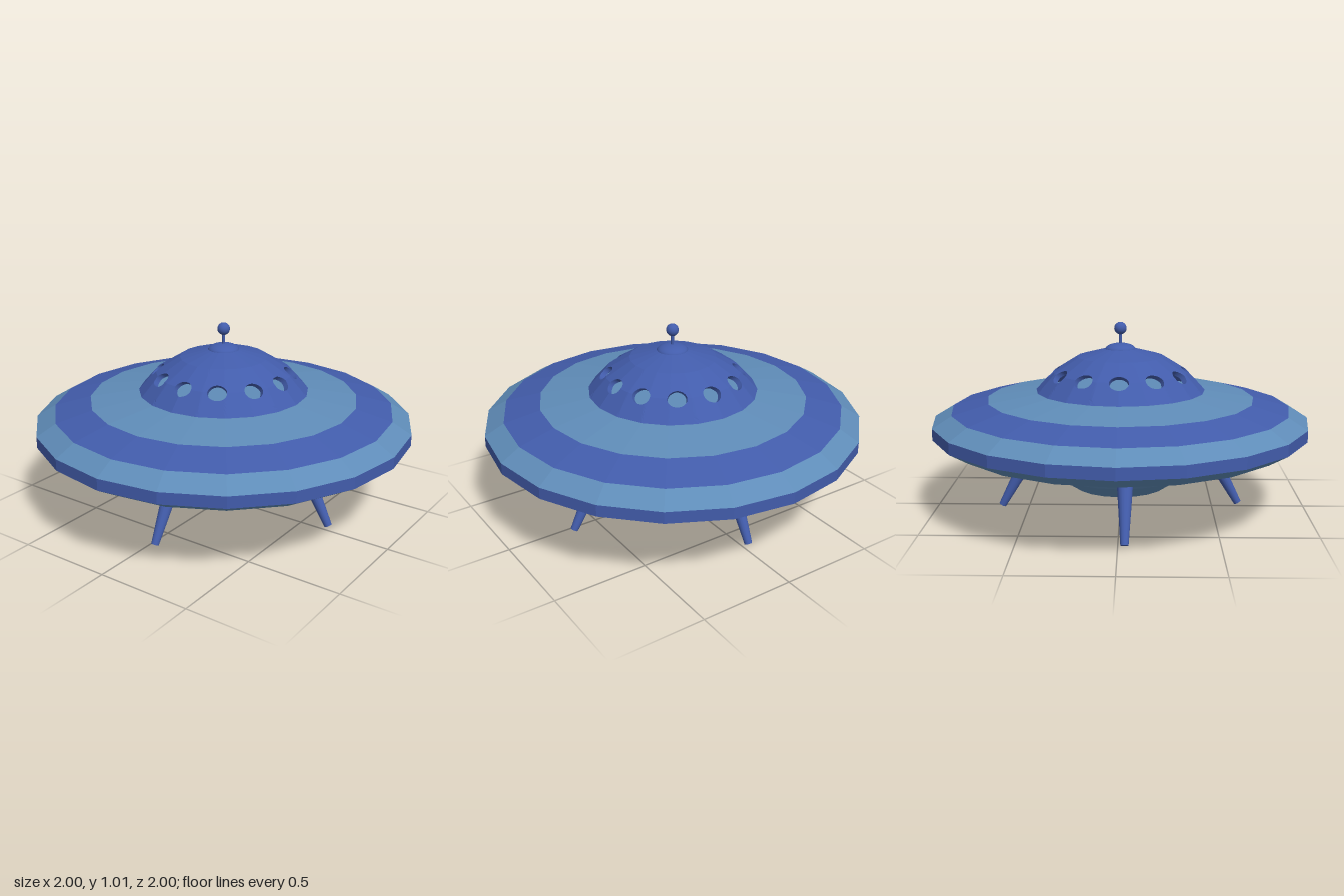
import * as THREE from 'three';

const SIDES = 20;
const paint = (color, flat = true) =>
  new THREE.MeshStandardMaterial({ color, flatShading: flat, side: THREE.DoubleSide });
const pale = paint(0x5f8cb8), blue = paint(0x425cab), blueSmooth = paint(0x425cab, false);

export function createModel() {
  const model = new THREE.Group();

  const add = (name, geometry, material, parent = model) => {
    const mesh = new THREE.Mesh(geometry, material);
    mesh.name = name;
    parent.add(mesh);
    return mesh;
  };
  const flat = (geometry) => {
    const g = geometry.index ? geometry.toNonIndexed() : geometry;
    g.computeVertexNormals();
    return g;
  };
  // Faceted ring turned from a profile listed bottom to top on the outside
  const turned = (name, profile, material) =>
    add(name, flat(new THREE.LatheGeometry(profile.map(p => new THREE.Vector2(...p)), SIDES)), material);

  // Saucer hull, in coloured bands
  turned('underside', [[0.45, 0.29], [0.71, 0.33], [0.9, 0.38], [1, 0.44]], pale);
  turned('rim', [[1, 0.44], [1, 0.5]], blue);
  turned('outerBand', [[1, 0.5], [0.9, 0.56]], pale);
  turned('middleBand', [[0.9, 0.56], [0.71, 0.61]], blue);
  turned('innerBand', [[0.71, 0.61], [0.45, 0.648], [0, 0.648]], pale);

  // Lower bowl with a shallow recessed hatch
  turned('lowerBowl', [[0.25, 0.125], [0.37, 0.205], [0.45, 0.29]], pale);
  turned('hatch', [[0, 0.165], [0.235, 0.158], [0.25, 0.125]], blue);

  // Cockpit dome: hollow shell with twelve round windows
  const lower = [0.45, 0.65], bend = [0.36, 0.75], upper = [0.23, 0.83];
  const lenA = Math.hypot(0.09, 0.1), lenB = Math.hypot(0.13, 0.08);
  // Point on the faceted dome; s is the distance along the profile from the bend
  const domePoint = (theta, s, inset) => {
    const [end, t] = s < 0 ? [lower, -s / lenA] : [upper, s / lenB];
    const r = bend[0] + (end[0] - bend[0]) * t - inset;
    const y = bend[1] + (end[1] - bend[1]) * t - inset * 0.8;
    const step = 2 * Math.PI / SIDES;
    const local = theta - Math.floor(theta / step) * step - step / 2;
    const R = r * Math.cos(step / 2) / Math.cos(local);
    return [R * Math.sin(theta), y, R * Math.cos(theta)];
  };
  const WINDOWS = 12, AROUND = 64, RINGS = 6, THICK = 0.022;
  const positions = [];
  // Grid of quads from a function of ring and angle index
  const quads = (rings, point) => {
    for (let k = 0; k < rings; k++) {
      for (let a = 0; a < AROUND; a++) {
        const p = point(k, a), q = point(k + 1, a), r = point(k + 1, a + 1), s = point(k, a + 1);
        positions.push(...p, ...q, ...r, ...p, ...r, ...s);
      }
    }
  };
  for (let w = 0; w < WINDOWS; w++) {
    const centre = w * 2 * Math.PI / WINDOWS;
    // Blend from the window circle to the border of its sector
    const sector = (t, a, inset) => {
      const ang = a * 2 * Math.PI / AROUND, c = Math.cos(ang), s = Math.sin(ang);
      const m = Math.max(Math.abs(c), Math.abs(s));
      const theta = THREE.MathUtils.lerp(0.05 * c / 0.36, c / m * Math.PI / WINDOWS, t);
      const along = THREE.MathUtils.lerp(0.045 * s, s / m * (s < 0 ? lenA : lenB), t);
      return domePoint(centre + theta, along, inset);
    };
    quads(RINGS, (k, a) => sector(k / RINGS, a, 0));
    quads(RINGS, (k, a) => sector(1 - k / RINGS, a, THICK));
    quads(1, (k, a) => sector(0, a, THICK * (1 - k)));
  }
  const shell = new THREE.BufferGeometry();
  shell.setAttribute('position', new THREE.Float32BufferAttribute(positions, 3));
  add('domeWithWindows', flat(shell), blue);
  turned('domeCrown', [[0.23, 0.83], [0.08, 0.87], [0, 0.872]], blue);

  // Crown cap and antenna
  const cap = add('domeCap', new THREE.SphereGeometry(0.083, 24, 8, 0, Math.PI * 2, 0, Math.PI / 2), blueSmooth);
  cap.position.y = 0.864;
  cap.scale.y = 0.43;
  add('antennaRod', new THREE.CylinderGeometry(0.008, 0.008, 0.09, 12), blueSmooth).position.y = 0.92;
  add('antennaBall', new THREE.SphereGeometry(0.033, 20, 14), blueSmooth).position.y = 0.978;

  // Four splayed, tapering legs, each set slightly off its axis
  const foot = new THREE.Vector3(0.033, 0.01, 0.645), hip = new THREE.Vector3(0.033, 0.34, 0.464);
  for (let i = 0; i < 4; i++) {
    const leg = new THREE.Group();
    leg.name = 'leg' + (i + 1);
    leg.rotation.y = i * Math.PI / 2;
    const axis = hip.clone().sub(foot);
    const post = add('legPost', new THREE.CylinderGeometry(0.045, 0.02, axis.length(), 16), blueSmooth, leg);
    post.position.copy(foot).add(hip).multiplyScalar(0.5);
    post.quaternion.setFromUnitVectors(new THREE.Vector3(0, 1, 0), axis.normalize());
    model.add(leg);
  }
  return model;
}
